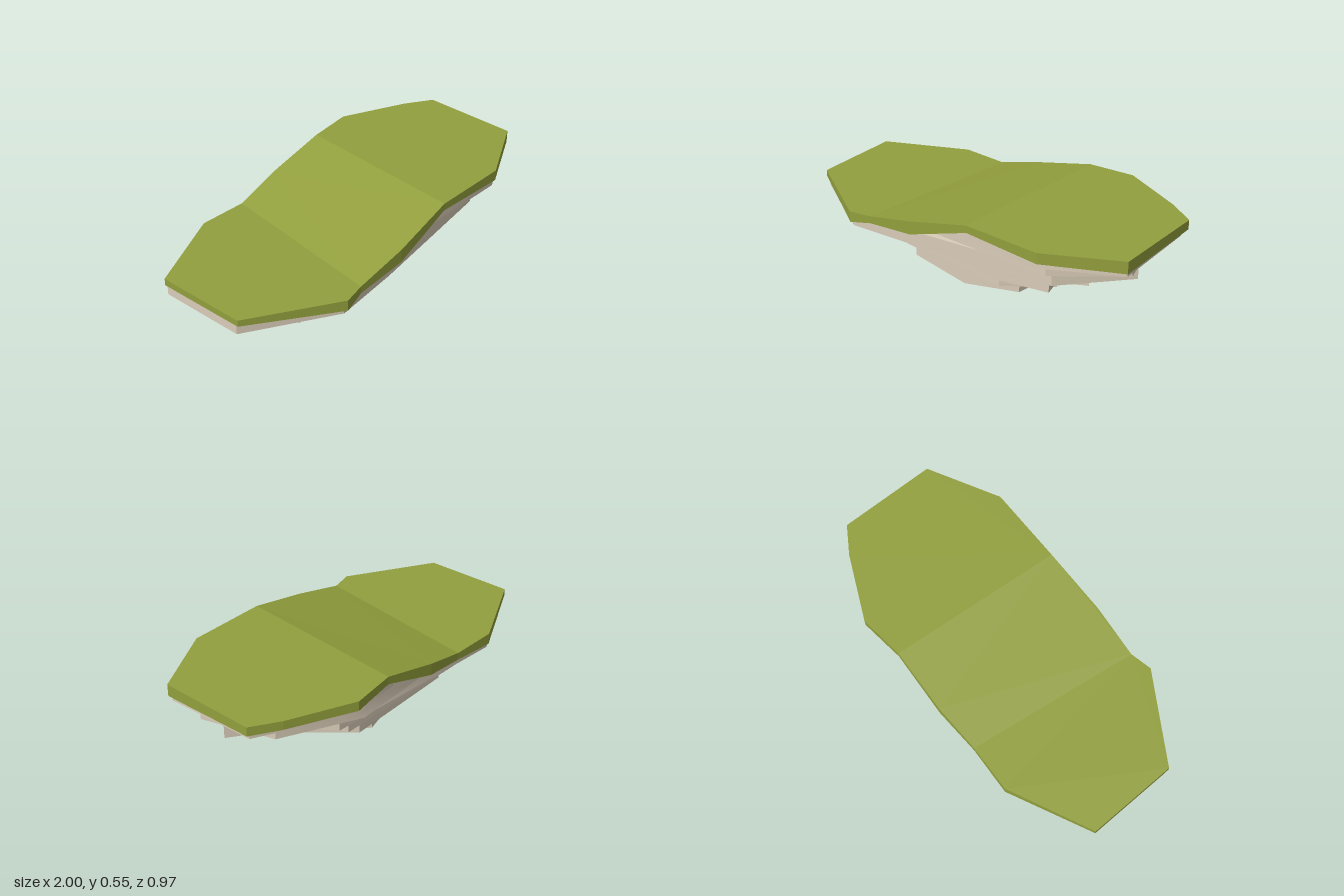
import * as THREE from 'three';
import { toCreasedNormals } from 'three/addons/utils/BufferGeometryUtils.js';

const grass = new THREE.MeshStandardMaterial({ color: 0x93a03d });
grass.name = 'grass green';
const rock = new THREE.MeshStandardMaterial({ color: 0xdacdb9 });
rock.name = 'pale stone';

// Rock terraces, lowest first: bottom, top, outline as [x, z]
const terraces = [
  [0, 0.08, [[0.21, 0.06], [0.22, -0.01], [0.05, -0.19], [-0.47, -0.07], [-0.55, -0.03], [-0.47, 0.08], [-0.07, 0.16]]],
  [0.08, 0.155, [[0.41, 0.01], [0.21, -0.235], [-0.45, -0.25], [-0.59, -0.14], [-0.615, -0.02], [-0.5, 0.12], [-0.1, 0.178], [0.17, 0.18]]],
  [0.155, 0.232, [[0.48, 0.185], [0.42, -0.06], [0.32, -0.255], [-0.5, -0.31], [-0.7, -0.17], [-0.74, 0.02], [-0.57, 0.21], [0.15, 0.25]]],
  [0.232, 0.31, [[0.67, 0.12], [0.42, -0.28], [-0.5, -0.385], [-0.77, -0.24], [-0.84, 0.0], [-0.68, 0.24], [-0.2, 0.31], [0.32, 0.29]]],
  [0.31, 0.387, [[0.89, 0.035], [0.37, -0.36], [-0.56, -0.47], [-0.995, -0.28], [-0.995, 0.18], [-0.56, 0.455], [-0.2, 0.43], [0.6, 0.34]]],
  [0.387, 0.465, [[0.925, 0.15], [0.82, -0.23], [0.43, -0.44], [0, -0.44], [-0.1, 0.38], [0.6, 0.39]]],
  [0.465, 0.52, [[0.975, 0.28], [0.97, -0.21], [0.52, -0.465], [0.22, -0.45], [0.1, 0.45], [0.6, 0.47]]],
];

// Turf rim: x, z, height of its lower edge, height of its upper edge
const rim = [
  [-1, 0.195, 0.365, 0.4], [-0.56, 0.48, 0.34, 0.4], [-0.44, 0.457, 0.36, 0.4], [-0.16, 0.475, 0.395, 0.468],
  [0.19, 0.465, 0.513, 0.553], [0.61, 0.48, 0.495, 0.553], [0.985, 0.295, 0.488, 0.553], [1, -0.225, 0.503, 0.553],
  [0.86, -0.32, 0.505, 0.553], [0.525, -0.485, 0.5, 0.553], [0.28, -0.465, 0.51, 0.553],
  [-0.05, -0.48, 0.4, 0.466], [-0.3, -0.468, 0.36, 0.4], [-0.555, -0.485, 0.338, 0.4], [-1, -0.29, 0.362, 0.4],
];
// Lower lawn, ramp and upper lawn, as rim indices
const lawns = [[0, 1, 2, 12, 13, 14], [2, 3, 4, 10, 11, 12], [4, 5, 6, 7, 8, 9, 10]];

const top = ([x, z, , y]) => [x, y, z];
const low = ([x, z, y]) => [x, y, z];

function turfGeometry() {
  const pos = [];
  const tri = (a, b, c) => pos.push(...a, ...b, ...c);
  // Lawn and underside, one section per slope
  for (const lawn of lawns) {
    const part = lawn.map((n) => rim[n]);
    const flat = part.map(([x, z]) => new THREE.Vector2(x, -z));
    for (const face of THREE.ShapeUtils.triangulateShape(flat, [])) {
      const [a, b, c] = face.map((n) => part[n]);
      tri(top(a), top(b), top(c));
      tri(low(a), low(c), low(b));
    }
  }
  // Side band
  rim.forEach((p, i) => {
    const q = rim[(i + 1) % rim.length];
    tri(low(p), low(q), top(q));
    tri(low(p), top(q), top(p));
  });
  const g = new THREE.BufferGeometry();
  g.setAttribute('position', new THREE.Float32BufferAttribute(pos, 3));
  g.computeVertexNormals();
  return g;
}

function terraceGeometry(bottom, height, outline) {
  const shape = new THREE.Shape(outline.map(([x, z]) => new THREE.Vector2(x, -z)));
  const g = new THREE.ExtrudeGeometry(shape, { depth: height, bevelEnabled: false });
  g.rotateX(-Math.PI / 2).translate(0, bottom, 0);
  return toCreasedNormals(g, 0.6);
}

export function createModel() {
  const group = new THREE.Group();
  group.name = 'terracedIsland';
  terraces.forEach(([y0, y1, outline], i) => {
    const mesh = new THREE.Mesh(terraceGeometry(y0, y1 - y0, outline), rock);
    mesh.name = `rockTerrace${i + 1}`;
    group.add(mesh);
  });
  const turf = new THREE.Mesh(turfGeometry(), grass);
  turf.name = 'grassTop';
  group.add(turf);
  return group;
}
